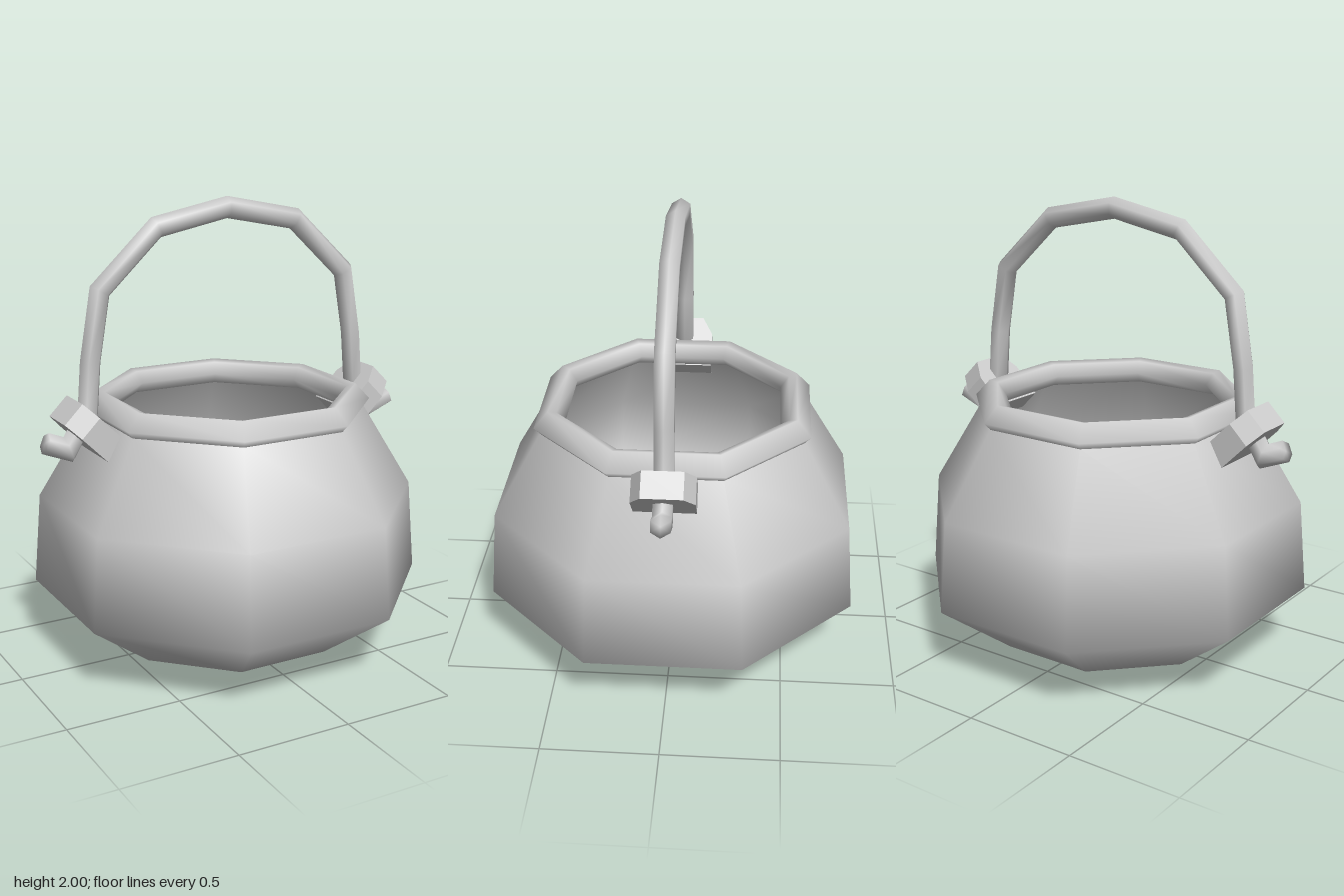
import * as THREE from 'three';

const SIDES = 8;
const material = (side = THREE.FrontSide) => new THREE.MeshStandardMaterial({ color: 0xcccccc, side });

// Eight-sided lathe with flats facing the axes; profile radii are measured to the flats.
function octagonLathe(name, profile, side) {
  const k = 1 / Math.cos(Math.PI / SIDES);
  const points = profile.map(([r, y]) => new THREE.Vector2(r * k, y));
  const mesh = new THREE.Mesh(new THREE.LatheGeometry(points, SIDES, Math.PI / SIDES), material(side));
  mesh.name = name;
  return mesh;
}

// Six-sided bar swept along a path in the XY plane, with mitred bends and capped ends.
function sweepBar(path, radius, sides = 6) {
  const pts = path.map(([x, y]) => new THREE.Vector2(x, y));
  const positions = [], index = [];
  const last = pts.length - 1;
  pts.forEach((p, i) => {
    const a = pts[i].clone().sub(pts[Math.max(i - 1, 0)]).normalize();
    const b = pts[Math.min(i + 1, last)].clone().sub(p).normalize();
    const t = a.clone().add(b).normalize();
    const miter = 1 / t.dot(i < last ? b : a);
    for (let j = 0; j < sides; j++) {
      const angle = (j / sides) * Math.PI * 2;
      const n = radius * Math.cos(angle) * miter;
      positions.push(p.x - t.y * n, p.y + t.x * n, radius * Math.sin(angle));
    }
  });
  const start = positions.length / 3;
  positions.push(pts[0].x, pts[0].y, 0, pts[last].x, pts[last].y, 0);
  for (let j = 0; j < sides; j++) {
    const j2 = (j + 1) % sides;
    for (let i = 0; i < last; i++) {
      const a = i * sides + j, b = i * sides + j2;
      index.push(a, b, b + sides, a, b + sides, a + sides);
    }
    index.push(start, j2, j, start + 1, last * sides + j, last * sides + j2);
  }
  const geometry = new THREE.BufferGeometry();
  geometry.setAttribute('position', new THREE.Float32BufferAttribute(positions, 3));
  geometry.setIndex(index);
  geometry.computeVertexNormals();
  return geometry;
}

// Tilted plate with a chamfered top that holds the handle end.
function makeLug(side) {
  const w = 0.13, top = 0.085, h = 0.24, depth = 0.113;
  const shape = new THREE.Shape([
    [-w, 0], [w, 0], [w, h - 0.08], [top, h], [-top, h], [-w, h - 0.08],
  ].map(([x, y]) => new THREE.Vector2(x, y)));
  const geometry = new THREE.ExtrudeGeometry(shape, { depth, bevelEnabled: false });
  geometry.rotateX(Math.PI / 4);
  geometry.rotateY(side * Math.PI / 2);
  geometry.translate(side * 0.55, 1.03, 0);
  const mesh = new THREE.Mesh(geometry, material());
  mesh.name = side > 0 ? 'leftLug' : 'rightLug';
  return mesh;
}

export function createModel() {
  const group = new THREE.Group();
  group.name = 'cauldron';

  // Open pot body
  group.add(octagonLathe('body', [
    [0, 0], [0.5, 0.06], [0.8, 0.3], [0.77, 0.7], [0.565, 1.07],
  ], THREE.DoubleSide));

  // Thick rim around the mouth
  group.add(octagonLathe('rim', [
    [0.5, 1.06], [0.555, 1.06], [0.59, 1.1], [0.53, 1.17], [0.495, 1.16], [0.46, 1.11], [0.5, 1.06],
  ]));

  // Lugs on both sides
  for (const side of [-1, 1]) group.add(makeLug(side));

  // Carrying handle with upturned hooked ends
  const half = [
    [0.335, 1.887], [0.595, 1.642], [0.645, 1.35], [0.662, 1.14], [0.755, 0.99], [0.855, 1.03],
  ];
  const path = [...half.map(([x, y]) => [-x, y]).reverse(), [0, 1.953], ...half];
  const handle = new THREE.Mesh(sweepBar(path, 0.046), material());
  handle.name = 'handle';
  group.add(handle);

  return group;
}
